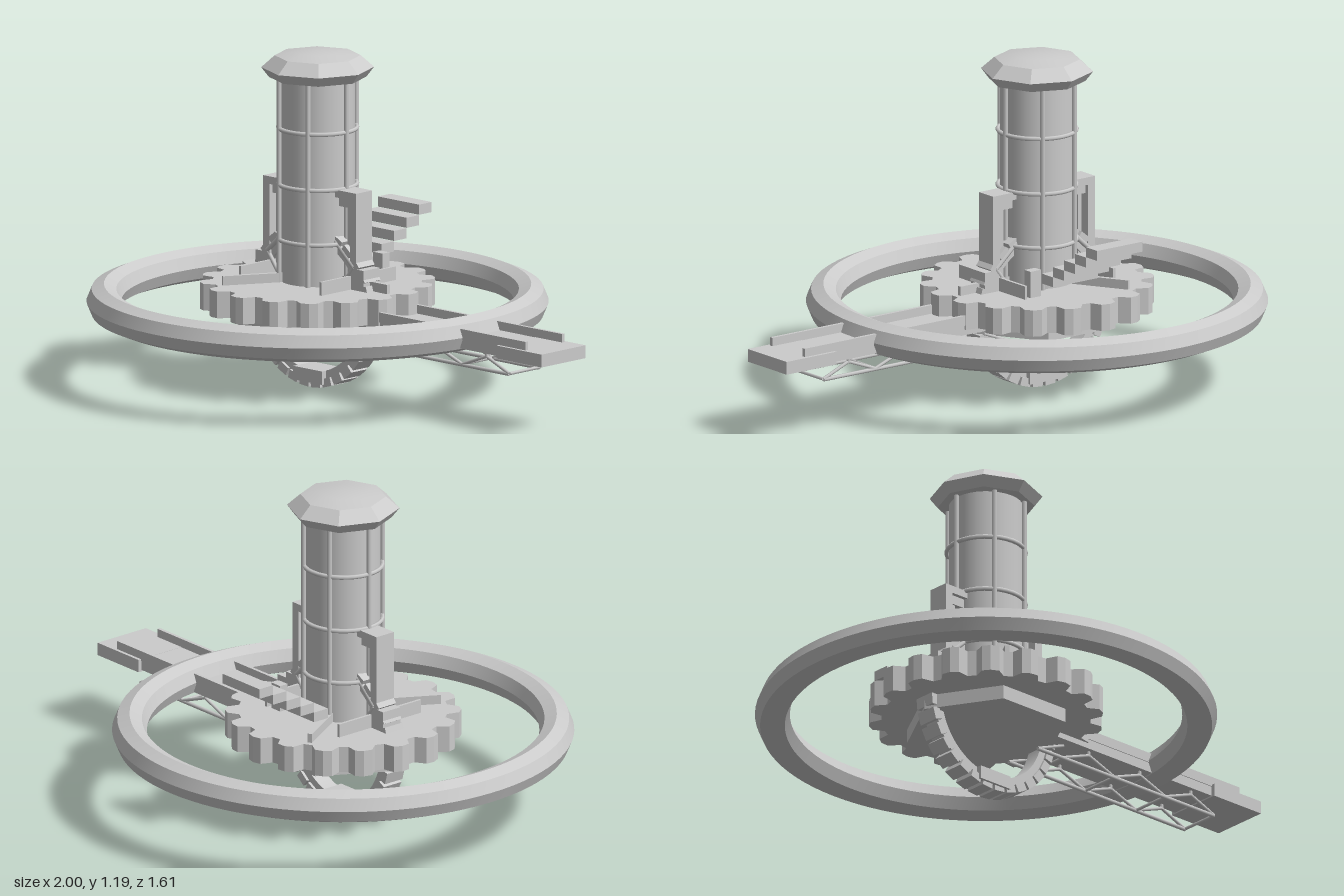
import * as THREE from 'three';
import { toCreasedNormals } from 'three/addons/utils/BufferGeometryUtils.js';

const grey = new THREE.MeshStandardMaterial({ color: 0xcccccc });
const flat = new THREE.MeshStandardMaterial({ color: 0xcccccc, flatShading: true });

export function createModel() {
  const model = new THREE.Group();
  const station = new THREE.Group(); // everything is placed around the tower axis
  station.name = 'station';
  station.position.x = -0.195;
  model.add(station);

  const add = (name, geometry, x = 0, y = 0, z = 0, material = grey, parent = station) => {
    const mesh = new THREE.Mesh(geometry, material);
    mesh.name = name;
    mesh.position.set(x, y, z);
    parent.add(mesh);
    return mesh;
  };
  // box given by its limits on each axis
  const box = (name, x0, x1, y0, y1, z0, z1, parent = station) =>
    add(name, new THREE.BoxGeometry(x1 - x0, y1 - y0, z1 - z0),
      (x0 + x1) / 2, (y0 + y1) / 2, (z0 + z1) / 2, grey, parent);
  // round bar between two points
  const bar = (name, a, b, r, parent = station) => {
    const p = new THREE.Vector3(...a), q = new THREE.Vector3(...b);
    const dir = q.clone().sub(p);
    const mesh = add(name, new THREE.CylinderGeometry(r, r, dir.length(), 6), 0, 0, 0, grey, parent);
    mesh.position.copy(p).add(q).multiplyScalar(0.5);
    mesh.quaternion.setFromUnitVectors(new THREE.Vector3(0, 1, 0), dir.normalize());
    return mesh;
  };

  // large horizontal ring with an octagonal section
  const ring = new THREE.TorusGeometry(0.745, 0.061, 8, 96).rotateX(Math.PI / 2);
  add('outerRing', toCreasedNormals(ring, 0.5), 0, 0.305, 0);

  // toothed deck
  const teeth = 18, gear = new THREE.Shape();
  for (let i = 0; i < teeth; i++) {
    const mid = ((10 + 20 * i) * Math.PI) / 180;
    for (const [da, r] of [[-0.13, 0.365], [-0.075, 0.405], [0, 0.412], [0.075, 0.405], [0.13, 0.365]]) {
      const x = r * Math.cos(mid + da), y = r * Math.sin(mid + da);
      if (i === 0 && da === -0.13) gear.moveTo(x, y);
      else gear.lineTo(x, y);
    }
  }
  gear.closePath();
  const gearGeo = new THREE.ExtrudeGeometry(gear, { depth: 0.095, bevelEnabled: false });
  add('gearDeck', gearGeo.rotateX(-Math.PI / 2), 0, 0.285, 0);

  // hexagonal hub below the deck, vertices along x
  add('lowerHub', new THREE.CylinderGeometry(0.29, 0.29, 0.055, 6).rotateY(Math.PI / 2), 0, 0.262, 0, flat);

  // tower with ribs, hoops and an octagonal cap
  add('tower', new THREE.CylinderGeometry(0.13, 0.13, 0.76, 32), 0, 0.74, 0);
  for (let i = 0; i < 6; i++) {
    const a = (i * Math.PI) / 3, x = 0.14 * Math.cos(a), z = 0.14 * Math.sin(a);
    bar('towerRib', [x, 0.38, z], [x, 1.12, z], 0.009);
  }
  for (const y of [0.53, 0.725, 0.925])
    add('towerHoop', new THREE.TorusGeometry(0.138, 0.008, 6, 32).rotateX(Math.PI / 2), 0, y, 0);
  const capProfile = [[0, 1.103], [0.17, 1.103], [0.197, 1.138], [0.15, 1.18], [0.08, 1.193], [0, 1.197]]
    .map(([r, y]) => new THREE.Vector2(r, y));
  add('towerCap', toCreasedNormals(new THREE.LatheGeometry(capProfile, 8), 0.45));

  // three radial fins on the deck
  for (let i = 0; i < 3; i++) {
    const pivot = new THREE.Group();
    pivot.name = 'deckFinPivot';
    pivot.rotation.y = (i * 2 * Math.PI) / 3;
    station.add(pivot);
    box('deckFin', 0.12, 0.345, 0.375, 0.413, -0.008, 0.008, pivot);
  }
  box('controlPost', 0.125, 0.172, 0.375, 0.475, -0.182, -0.148);

  // side gantries and deck rails, mirrored
  for (const s of [1, -1]) {
    const side = new THREE.Group();
    side.name = s > 0 ? 'leftGantry' : 'rightGantry';
    side.rotation.y = s > 0 ? 0 : Math.PI;
    station.add(side);
    box('gantryPost', 0.195, 0.226, 0.375, 0.725, -0.04, 0.04, side);
    box('gantryArm', 0.115, 0.226, 0.698, 0.725, -0.04, 0.04, side);
    box('gantryInnerPost', 0.165, 0.182, 0.375, 0.7, -0.02, 0.02, side);
    box('gantryHead', 0.125, 0.195, 0.665, 0.7, -0.025, 0.025, side);
    box('deckRail', 0.19, 0.2, 0.375, 0.428, -0.187, 0.187, side);
    for (const z of [-0.035, 0.035]) {
      bar('gantryBrace', [0.21, 0.46, z], [0.11, 0.55, z], 0.009, side);
      bar('gantryStrut', [0.21, 0.46, z], [0.15, 0.38, z], 0.008, side);
    }
    box('trackGuide', 0.215, 0.262, 0.375, 0.455, -0.04, 0.04, side);
  }

  // floating stair rising to the back
  for (let i = 0; i < 5; i++) {
    const z = -0.155 - 0.0625 * i, y = 0.415 + 0.0372 * i;
    box('stairStep', -0.1, 0.1, y, y + 0.036, z - 0.0625, z);
  }

  // upright track wheel through the deck: plain hoop plus tread blocks
  const wheel = new THREE.Group();
  wheel.name = 'trackWheel';
  wheel.position.y = 0.295;
  station.add(wheel);
  const hoop = new THREE.Shape().absarc(0, 0, 0.272, 0, Math.PI * 2);
  hoop.holes.push(new THREE.Path().absarc(0, 0, 0.235, 0, Math.PI * 2, true));
  const hoopGeo = new THREE.ExtrudeGeometry(hoop, { depth: 0.06, bevelEnabled: false, curveSegments: 48 });
  add('wheelHoop', toCreasedNormals(hoopGeo, 0.6), 0, 0, -0.03, grey, wheel);
  const treads = 32;
  for (let i = 0; i < treads; i++) {
    const a = ((i + 0.5) * 2 * Math.PI) / treads;
    const tread = add('wheelTread', new THREE.BoxGeometry(0.03, 0.044, 0.08),
      0.276 * Math.cos(a), 0.276 * Math.sin(a), 0, grey, wheel);
    tread.rotation.z = a;
  }
  box('wheelPod', -0.07, 0.07, 0.022, 0.07, -0.05, 0.05);

  // bridge arm with rails and end plate
  box('bridgeDeck', 0.2, 1.1, 0.265, 0.305, -0.095, 0.095);
  box('bridgeEndPlate', 0.975, 1.195, 0.26, 0.306, -0.11, 0.11);

  // rails above and trusses below, on both edges
  const nodes = [[0.295, 0.205], [0.415, 0.25], [0.535, 0.205], [0.655, 0.25], [0.775, 0.205], [0.895, 0.25], [1.005, 0.205]];
  for (const s of [1, -1]) {
    const z = 0.075 * s;
    box('bridgeRail', 0.33, 1.105, 0.3, 0.336, 0.092 * s - 0.006, 0.092 * s + 0.006);
    bar('trussChord', [0.175, 0.203, z], [1.005, 0.203, z], 0.007);
    bar('trussEnd', [0.175, 0.203, z], [0.295, 0.25, z], 0.006);
    for (let i = 1; i < nodes.length; i++)
      bar('trussDiagonal', [...nodes[i - 1], z], [...nodes[i], z], 0.006);
    for (const [x] of nodes.filter((n) => n[1] > 0.22))
      bar('trussHanger', [x, 0.245, z], [x, 0.27, z], 0.006);
  }
  for (const [x, y] of nodes.filter((n) => n[1] < 0.22))
    bar('trussCrossTie', [x, y, -0.075], [x, y, 0.075], 0.006);

  return model;
}
